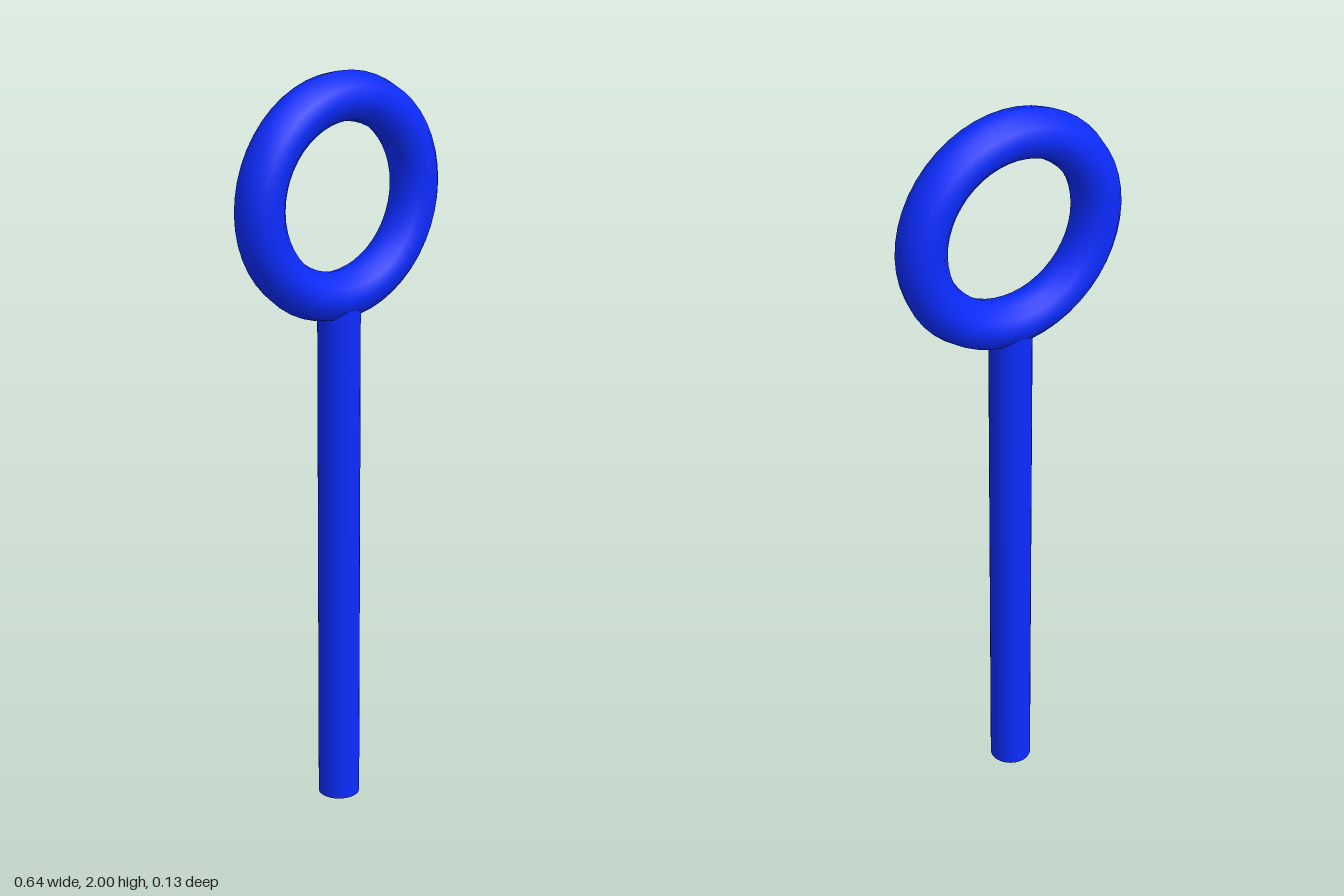
import * as THREE from 'three';

export function createModel() {
  const group = new THREE.Group();
  const blue = new THREE.MeshStandardMaterial({ color: 0x0c2cff });

  const tube = 0.064;
  const ringRadius = 0.256;
  const ringY = 2 - ringRadius - tube;

  // Upright round pole, ending inside the bottom of the ring
  const poleHeight = ringY - ringRadius;
  const pole = new THREE.Mesh(new THREE.CylinderGeometry(0.056, 0.056, poleHeight, 32), blue);
  pole.name = 'pole';
  pole.position.y = poleHeight / 2;

  // Hoop on top of the pole, facing the front
  const ring = new THREE.Mesh(new THREE.TorusGeometry(ringRadius, tube, 12, 48), blue);
  ring.name = 'ring';
  ring.position.y = ringY;

  group.add(pole, ring);
  return group;
}
